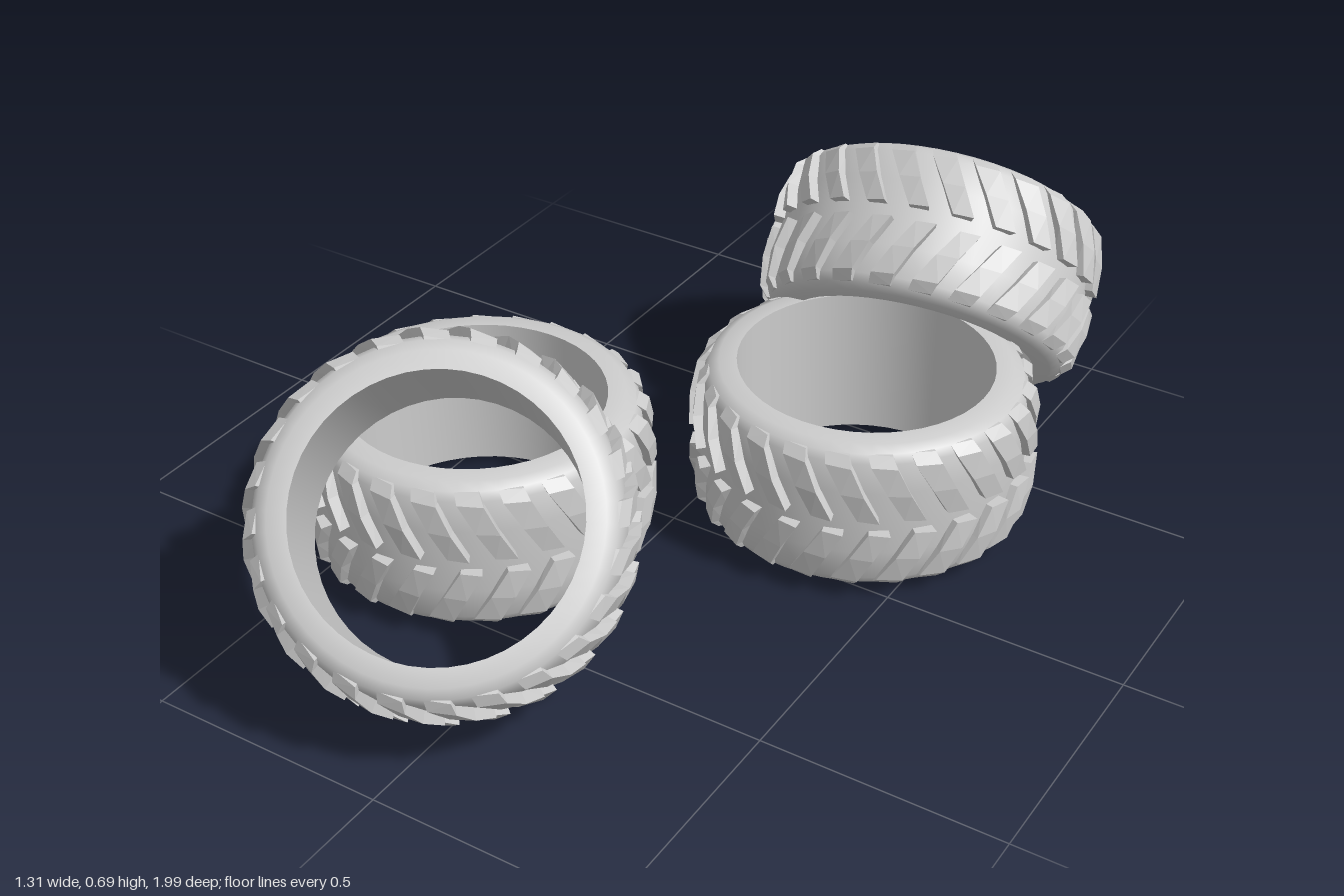
import * as THREE from 'three';
import { toCreasedNormals } from 'three/addons/utils/BufferGeometryUtils.js';

const LUGS = 24;
const material = new THREE.MeshStandardMaterial({ color: 0xcccccc });

// Tyre carcass: straight bore, flat bead face, rounded shoulder, slightly crowned tread
function carcassGeometry() {
  const half = [[0.262, 0.165], [0.298, 0.163], [0.318, 0.152], [0.328, 0.135], [0.334, 0.07]];
  const points = [
    ...half.map(([r, h]) => new THREE.Vector2(r, -h)),
    ...half.slice().reverse().map(([r, h]) => new THREE.Vector2(r, h)),
    new THREE.Vector2(0.262, -0.165),
  ];
  return toCreasedNormals(new THREE.LatheGeometry(points, 48), 0.7);
}

// Slanted tread bars swept from the centre line out over the shoulder, in two mirrored rows
function treadGeometry() {
  // height, outer radius, root radius, slant angle, angular width
  const sections = [
    [0.016, 0.358, 0.325, 0.20, 0.12],
    [0.075, 0.357, 0.325, 0.10, 0.13],
    [0.133, 0.345, 0.318, 0.00, 0.15],
    [0.152, 0.325, 0.305, -0.02, 0.15],
  ];
  const positions = [];
  const point = (r, a, y) => [r * Math.sin(a), y, r * Math.cos(a)];
  for (const side of [1, -1]) {
    const quad = (a, b, c, d) => {
      const order = side > 0 ? [a, b, c, a, c, d] : [a, c, b, a, d, c];
      order.forEach((p) => positions.push(...p));
    };
    for (let i = 0; i < LUGS; i++) {
      const start = ((i + (side > 0 ? 0 : 0.25)) / LUGS) * Math.PI * 2;
      const rings = sections.map(([h, outer, root, slant, width]) => {
        const a = start + slant;
        const y = h * side;
        return [
          point(root, a, y), point(outer - 0.008, a, y),
          point(outer, a + width, y), point(root, a + width, y),
        ];
      });
      for (let k = 0; k < rings.length - 1; k++) {
        for (let j = 0; j < 4; j++) {
          const n = (j + 1) % 4;
          quad(rings[k][j], rings[k][n], rings[k + 1][n], rings[k + 1][j]);
        }
      }
      const last = rings[rings.length - 1];
      quad(...rings[0].slice().reverse());
      quad(...last);
    }
  }
  const geometry = new THREE.BufferGeometry();
  geometry.setAttribute('position', new THREE.Float32BufferAttribute(positions, 3));
  geometry.computeVertexNormals();
  return geometry;
}

export function createModel() {
  const model = new THREE.Group();
  model.name = 'tyrePile';
  const carcass = carcassGeometry();
  const tread = treadGeometry();

  const addTyre = (name, position, axis) => {
    const tyre = new THREE.Group();
    tyre.name = name;
    for (const [part, geometry] of [['carcass', carcass], ['treadBars', tread]]) {
      const mesh = new THREE.Mesh(geometry, material);
      mesh.name = part;
      tyre.add(mesh);
    }
    tyre.position.set(...position);
    tyre.quaternion.setFromUnitVectors(
      new THREE.Vector3(0, 1, 0), new THREE.Vector3(...axis).normalize());
    model.add(tyre);
  };

  // Two tyres lie flat, each with another leaning on it
  addTyre('flatTyreFront', [-0.3, 0.185, 0.26], [0, 1, 0]);
  addTyre('flatTyreBack', [0.295, 0.185, -0.26], [0, 1, 0]);
  addTyre('leaningTyreFront', [-0.085, 0.348, 0.645], [0.4, 0.67, 0.63]);
  addTyre('leaningTyreBack', [0.235, 0.348, -0.663], [-0.15, 0.67, -0.73]);
  return model;
}
